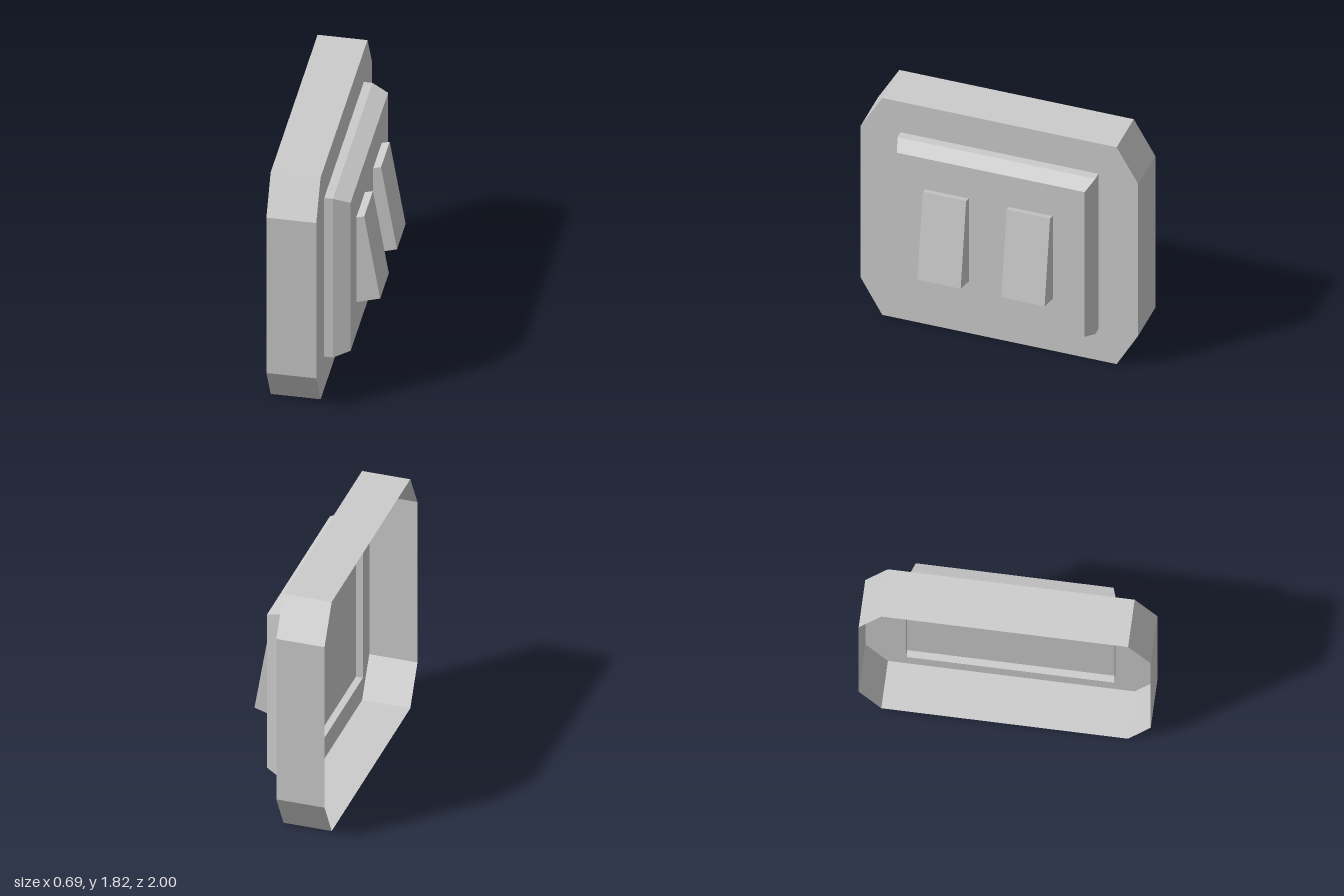
import * as THREE from 'three';

const material = new THREE.MeshStandardMaterial({ color: 0xcccccc, flatShading: true, side: THREE.DoubleSide });

// Open-backed shell: rings of [x, y, z] corners from back to front, closed by a front cap.
// Corners run counter-clockwise as seen from +x.
function shell(name, rings) {
  const pos = [];
  const tri = (a, b, c) => pos.push(...a, ...b, ...c);
  for (let r = 0; r < rings.length - 1; r++) {
    const back = rings[r], front = rings[r + 1], n = back.length;
    for (let i = 0; i < n; i++) {
      const j = (i + 1) % n;
      tri(back[i], back[j], front[j]);
      tri(back[i], front[j], front[i]);
    }
  }
  const cap = rings[rings.length - 1];
  for (let i = 1; i < cap.length - 1; i++) tri(cap[0], cap[i], cap[i + 1]);
  const geometry = new THREE.BufferGeometry();
  geometry.setAttribute('position', new THREE.Float32BufferAttribute(pos, 3));
  geometry.computeVertexNormals();
  const mesh = new THREE.Mesh(geometry, material);
  mesh.name = name;
  return mesh;
}

// Rectangle in the plane at x
const rect = (x, y0, y1, z0, z1) => [[x, y0, z1], [x, y0, z0], [x, y1, z0], [x, y1, z1]];

// Octagonal outline with cut corners
const octagon = (x) => [
  [-0.845, 0], [-1, 0.275], [-1, 1.55], [-0.845, 1.82],
  [0.845, 1.82], [1, 1.55], [1, 0.275], [0.845, 0],
].map(([z, y]) => [x, y, z]);

// Wedge-shaped rocker, thicker at the bottom
function rocker(name, z0, z1) {
  const profile = new THREE.Shape([
    [0.175, 0.57], [0.34, 0.62], [0.23, 1.28], [0.175, 1.265],
  ].map(([x, y]) => new THREE.Vector2(x, y)));
  const geometry = new THREE.ExtrudeGeometry(profile, { depth: z1 - z0, bevelEnabled: false });
  const mesh = new THREE.Mesh(geometry, material);
  mesh.position.z = z0;
  mesh.name = name;
  return mesh;
}

export function createModel() {
  const model = new THREE.Group();
  model.name = 'wallSwitch';

  // Hollow housing, open at the back
  model.add(shell('housing', [octagon(-0.345), octagon(0)]));

  // Raised panel with chamfered front; its sides pass through the housing face
  model.add(shell('raisedPanel', [
    rect(-0.05, 0.262, 1.565, -0.713, 0.713),
    rect(0.06, 0.262, 1.565, -0.713, 0.713),
    rect(0.175, 0.308, 1.522, -0.677, 0.677),
  ]));

  // Two rockers
  model.add(rocker('frontRocker', 0.158, 0.47));
  model.add(rocker('backRocker', -0.447, -0.135));
  return model;
}
